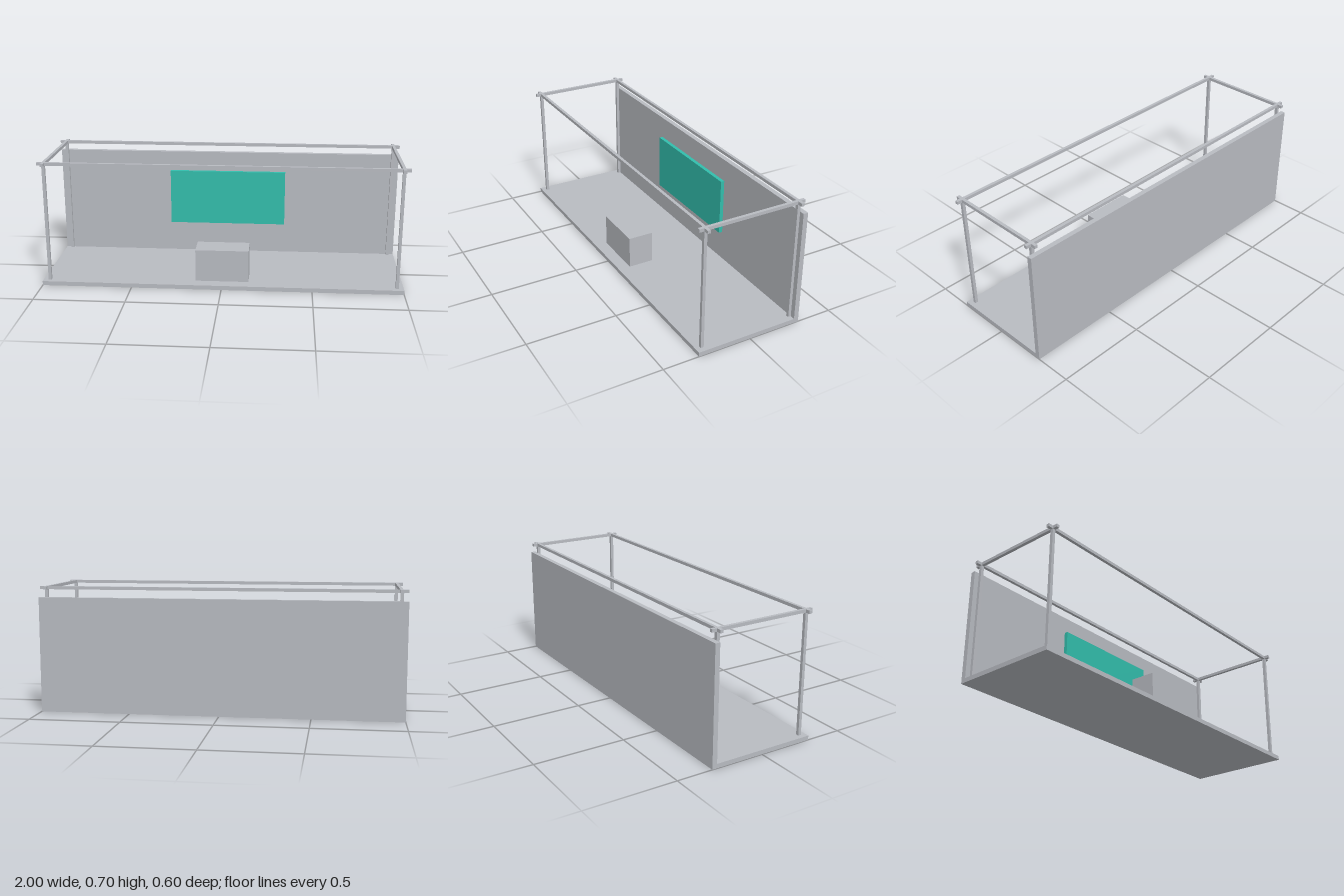
import * as THREE from 'three';

export function createModel() {
  const model = new THREE.Group();
  const grey = new THREE.MeshStandardMaterial({ color: 0xb8bbc1 });
  grey.name = 'light grey';
  const teal = new THREE.MeshStandardMaterial({ color: 0x32bdac });
  teal.name = 'teal';

  // box given by its lower and upper corners
  function box(name, material, [x0, y0, z0], [x1, y1, z1]) {
    const mesh = new THREE.Mesh(new THREE.BoxGeometry(x1 - x0, y1 - y0, z1 - z0), material);
    mesh.position.set((x0 + x1) / 2, (y0 + y1) / 2, (z0 + z1) / 2);
    mesh.name = name;
    model.add(mesh);
  }

  // floor, back wall, counter and wall screen
  box('floor', grey, [-1, 0, -0.273], [1, 0.024, 0.3]);
  box('backWall', grey, [-1, 0, -0.3], [1, 0.64, -0.273]);
  box('counter', grey, [-0.148, 0.024, 0.09], [0.148, 0.205, 0.232]);
  box('screen', teal, [-0.34, 0.211, -0.255], [0.34, 0.531, -0.234]);

  // open frame: posts at the corners, rails crossing above them
  const half = 0.0085, px = 0.964, pz = 0.265, top = 0.7, railBottom = 0.683;
  for (const s of [-1, 1]) {
    const x = s * px, z = s * pz;
    box('longRail', grey, [-1, railBottom, z - half], [1, top, z + half]);
    box('crossRail', grey, [x - half, railBottom, -0.3], [x + half, top, 0.3]);
    for (const t of [-1, 1]) {
      const postZ = t * pz;
      box('post', grey, [x - half, 0.024, postZ - half], [x + half, railBottom, postZ + half]);
    }
  }
  return model;
}
